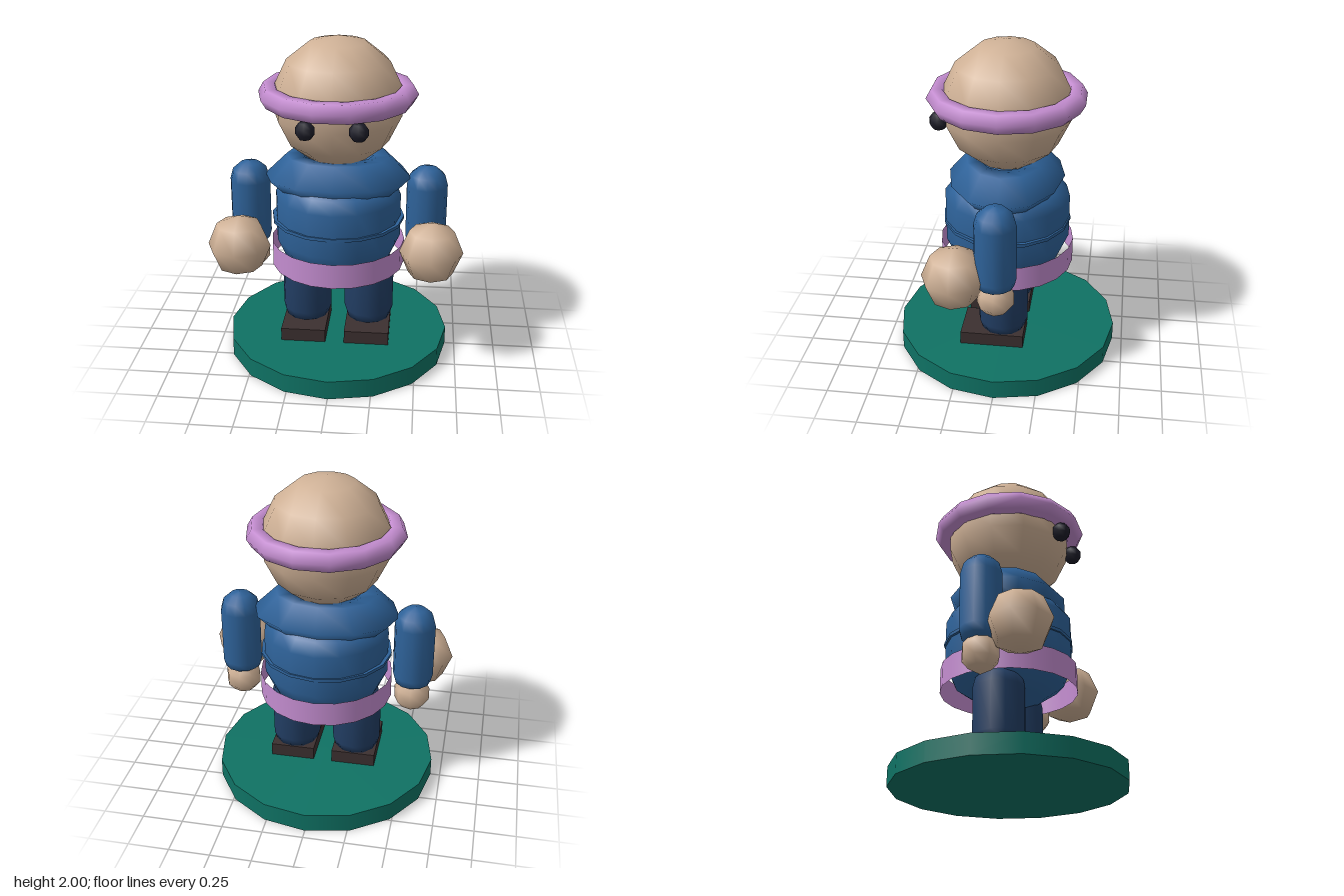
import * as THREE from 'three';

const mat = (name, color) => Object.assign(new THREE.MeshStandardMaterial({ color }), { name });

export function createModel() {
  const model = new THREE.Group();
  model.name = 'figure';

  const skin = mat('skin', 0xcfb196);
  const pink = mat('pink', 0xc48dd0);
  const blue = mat('blue', 0x2e6299);
  const navy = mat('navy', 0x223e64);
  const brown = mat('brown', 0x3c3030);
  const green = mat('green', 0x0f7264);
  const black = mat('black', 0x1d1d29);
  const pinkBand = mat('pinkOpen', 0xc48dd0);
  pinkBand.side = THREE.DoubleSide;

  const add = (name, geometry, material, x = 0, y = 0, z = 0) => {
    const mesh = new THREE.Mesh(geometry, material);
    mesh.name = name;
    mesh.position.set(x, y, z);
    model.add(mesh);
    return mesh;
  };
  // Profiles are [radius, height], from the bottom up
  const lathe = (points, sides) =>
    new THREE.LatheGeometry(points.map(([r, y]) => new THREE.Vector2(r, y)), sides);

  // Round stand
  add('base', new THREE.CylinderGeometry(0.69, 0.69, 0.118, 16), green, 0, 0.059, 0);

  // Body
  add('torso', lathe([[0, 0.465], [0.2, 0.55], [0.33, 0.64], [0.383, 0.76],
    [0.383, 1.03], [0.33, 1.1], [0.2, 1.2], [0, 1.25]], 16), blue);
  add('waistSeam', new THREE.CylinderGeometry(0.39, 0.39, 0.02, 16), blue, 0, 0.88, 0)
    .scale.x = 1.04;
  add('belt', new THREE.CylinderGeometry(0.41, 0.41, 0.155, 20, 1, true), pinkBand, 0, 0.658, 0);

  // Draped collar, wider across the shoulders and lower at the sides
  const collar = lathe([[0.14, 1.13], [0.2, 1.07], [0.285, 1.08], [0.35, 1.165],
    [0.245, 1.285], [0.17, 1.285], [0.14, 1.13]], 12);
  collar.scale(1.27, 1, 1);
  const p = collar.attributes.position;
  for (let i = 0; i < p.count; i++) p.setY(i, p.getY(i) - 0.12 * p.getX(i) ** 2);
  add('collar', collar, blue);

  // Head and headband
  add('head', new THREE.SphereGeometry(0.388, 12, 7), skin, 0, 1.612, 0);
  const band = new THREE.TorusGeometry(0.409, 0.0635, 6, 14);
  band.rotateX(Math.PI / 2);
  add('headband', band, pink, 0, 1.66, 0);

  // Paired parts
  const legShape = lathe([[0, 0.195], [0.135, 0.2], [0.153, 0.255], [0.155, 0.54],
    [0.14, 0.6], [0.08, 0.655], [0, 0.67]], 12);
  const armShape = lathe([[0, 0.665], [0.07, 0.685], [0.11, 0.71], [0.123, 0.76], [0.123, 1.1],
    [0.105, 1.165], [0.06, 1.205], [0, 1.22]], 12);
  const handShape = lathe([[0, 0.495], [0.07, 0.535], [0.108, 0.58], [0.108, 0.66], [0.06, 0.72]], 8);
  for (const [side, s] of [['left', 1], ['right', -1]]) {
    add(side + 'Eye', new THREE.SphereGeometry(0.058, 8, 5), black, s * 0.15, 1.545, 0.378);
    add(side + 'Leg', legShape, navy, s * 0.195);
    add(side + 'Shoe', new THREE.BoxGeometry(0.275, 0.085, 0.39), brown, s * 0.196, 0.157, 0.057);
    add(side + 'Arm', armShape, blue, s * 0.54);
    add(side + 'Hand', handShape, skin, s * 0.54);
    add(side + 'Fist', new THREE.SphereGeometry(0.19, 8, 4), skin, s * 0.576, 0.763, 0.236);
  }
  return model;
}
